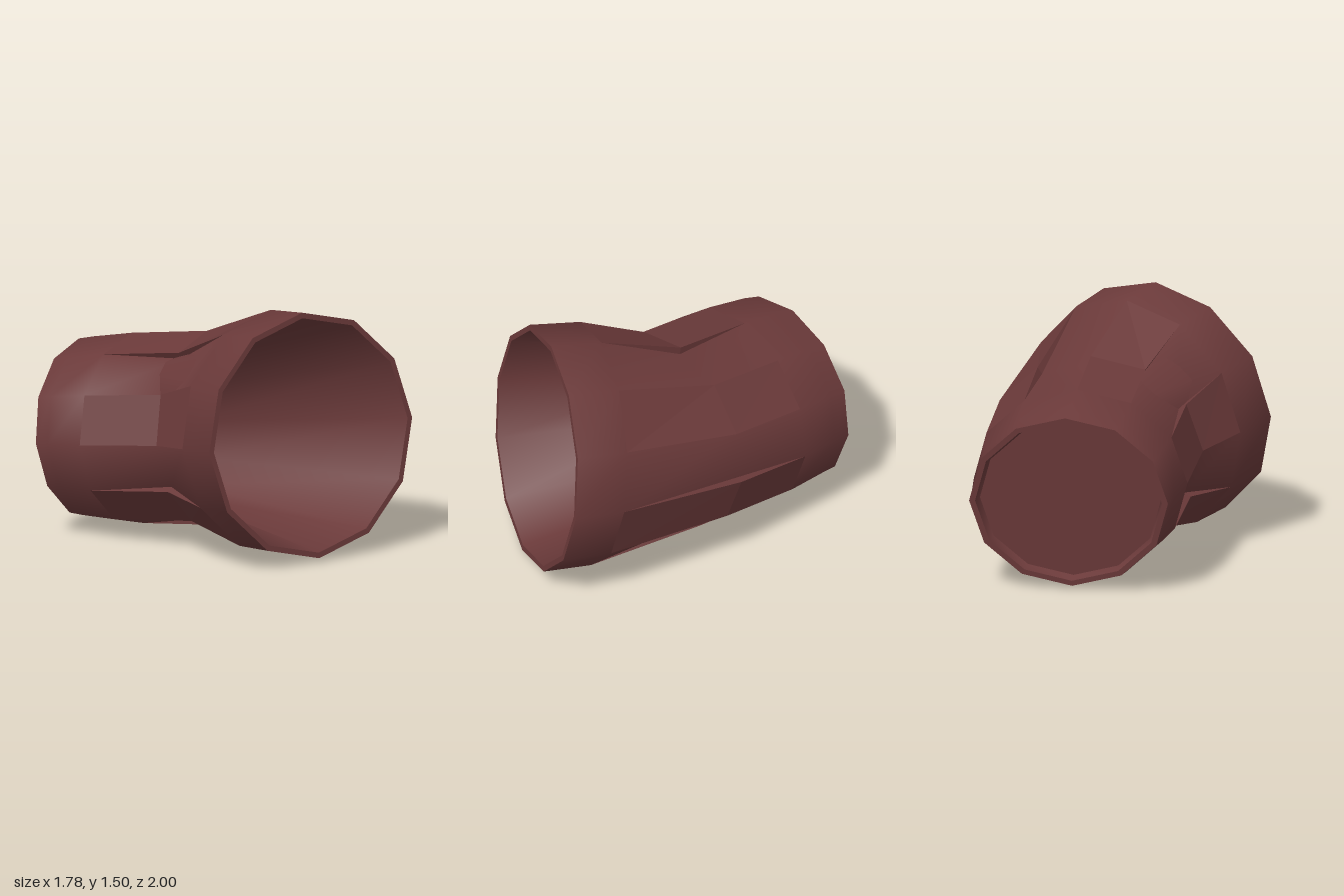
import * as THREE from 'three';

const SIDES = 12;
const material = new THREE.MeshStandardMaterial({ color: 0x6b3a3a, side: THREE.DoubleSide });
const flatMaterial = material.clone();
flatMaterial.flatShading = true;

// A tilted ring: centre, sideways axis and upward axis, optionally scaled
function ring(center, across, up, scale = 1) {
  const points = [];
  for (let i = 0; i < SIDES; i++) {
    const a = (i / SIDES) * Math.PI * 2;
    points.push(new THREE.Vector3(...center)
      .addScaledVector(new THREE.Vector3(...across), Math.sin(a) * scale)
      .addScaledVector(new THREE.Vector3(...up), Math.cos(a) * scale));
  }
  return points;
}

// Skin a series of rings with smooth normals
function loft(name, rings) {
  const index = [];
  for (let r = 0; r < rings.length - 1; r++) {
    for (let i = 0; i < SIDES; i++) {
      const j = (i + 1) % SIDES;
      const a = r * SIDES + i, b = r * SIDES + j;
      index.push(a, b, a + SIDES, b, b + SIDES, a + SIDES);
    }
  }
  const geometry = new THREE.BufferGeometry().setFromPoints(rings.flat());
  geometry.setIndex(index);
  geometry.computeVertexNormals();
  const mesh = new THREE.Mesh(geometry, material);
  mesh.name = name;
  return mesh;
}

// A flat raised pleat on one side of the tube, with its two thin side walls
function pleat(i, front, raised, sunk, back) {
  const j = (i + 1) % SIDES;
  const points = [
    front[i], front[j], raised[i], front[j], raised[j], raised[i],
    raised[i], raised[j], back[i], raised[j], back[j], back[i],
    front[i], raised[i], sunk[i], raised[i], back[i], sunk[i],
    front[j], sunk[j], raised[j], raised[j], sunk[j], back[j],
  ];
  const geometry = new THREE.BufferGeometry().setFromPoints(points);
  geometry.computeVertexNormals();
  const mesh = new THREE.Mesh(geometry, flatMaterial);
  mesh.name = 'pleat';
  return mesh;
}

export function createModel() {
  const group = new THREE.Group();
  group.name = 'bentSleeve';

  // Ring frames from the open front to the closed back
  const mouth = [[0.13, 0.77, 0.905], [0.757, 0.005, -0.03], [0, 0.735, -0.09]];
  const collar = [[0.12, 0.737, 0.6], [0.735, 0.005, -0.035], [0, 0.727, -0.1]];
  const elbow = [[0.025, 0.665, 0.04], [0.6, -0.02, -0.265], [-0.01, 0.585, -0.06]];
  const cuff = [[-0.2, 0.605, -0.43], [0.6, -0.02, -0.255], [-0.01, 0.575, -0.05]];
  const cuffEnd = [[-0.305, 0.577, -0.66], [0.565, -0.02, -0.25], [-0.02, 0.55, -0.06]];
  const tail = [[-0.34, 0.565, -0.755], [0.55, -0.02, -0.25], [-0.02, 0.535, -0.065]];
  const innerWall = [[-0.12, 0.635, -0.27], [0.33, -0.05, -0.18], [-0.08, 0.435, -0.02]];
  const tailPlate = [[-0.315, 0.57, -0.7], tail[1], tail[2]];

  const mouthOuter = ring(...mouth), mouthInner = ring(...mouth, 0.955);
  const collarRing = ring(...collar), cuffRing = ring(...cuff);
  const raised = ring(...elbow), sunk = ring(...elbow, 0.92);
  const tailOuter = ring(...tail), tailInner = ring(...tail, 0.94);
  const plateEdge = ring(...tailPlate, 0.91);
  const wallEdge = ring(...innerWall);

  group.add(
    // Hollow inside, narrowing to a flat wall
    loft('innerWall', [ring(...innerWall, 0), wallEdge]),
    loft('lining', [wallEdge, mouthInner]),
    loft('frontLip', [mouthInner, mouthOuter]),
    // Outer skin
    loft('sleeve', [mouthOuter, collarRing, sunk, cuffRing, ring(...cuffEnd), tailOuter]),
    // Recessed back end
    loft('backLip', [tailOuter, tailInner]),
    loft('backRecess', [tailInner, plateEdge]),
    loft('backPlate', [plateEdge, ring(...tailPlate, 0)]),
  );

  // Raised pleats on every other side
  for (let i = 1; i < SIDES; i += 2) group.add(pleat(i, collarRing, raised, sunk, cuffRing));

  return group;
}
